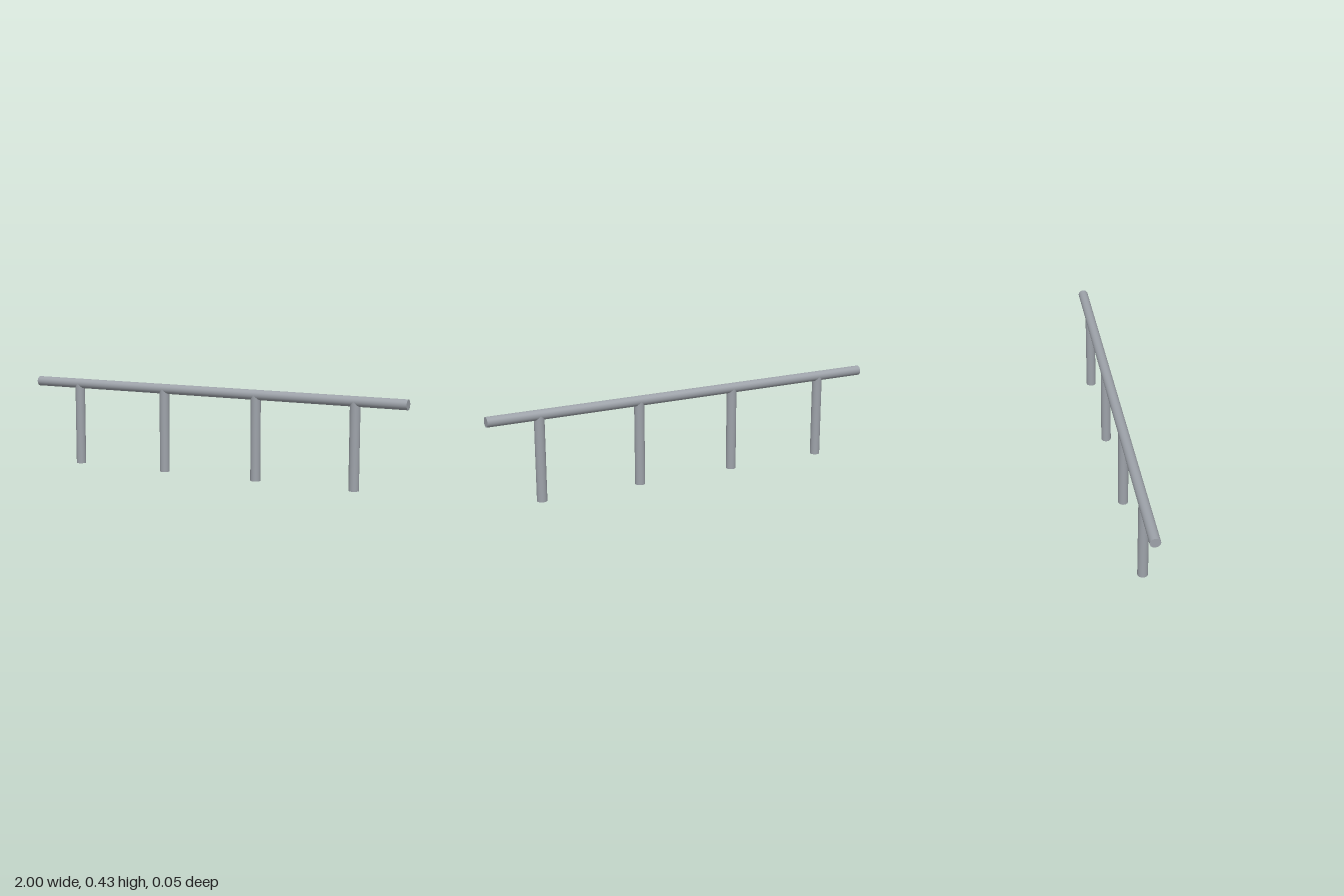
import * as THREE from 'three';

const RADIUS = 0.024;
const RAIL_Y = 0.41;
const SIDES = 48;

export function createModel() {
  const group = new THREE.Group();
  group.name = 'handrail';
  const material = new THREE.MeshStandardMaterial({ color: 0x9da2a9, side: THREE.DoubleSide });

  // Round horizontal rail with closed ends
  const rail = new THREE.Mesh(new THREE.CylinderGeometry(RADIUS, RADIUS, 2, SIDES), material);
  rail.name = 'rail';
  rail.rotation.z = Math.PI / 2;
  rail.position.y = RAIL_Y;
  group.add(rail);

  // Four evenly spaced tube posts, open at the foot, each running up to the rail's axis
  const postGeometry = new THREE.CylinderGeometry(RADIUS, RADIUS, RAIL_Y, SIDES, 1, true);
  for (let i = 0; i < 4; i++) {
    const post = new THREE.Mesh(postGeometry, material);
    post.name = `post${i + 1}`;
    post.position.set(-0.75 + i * 0.5, RAIL_Y / 2, 0);
    group.add(post);
  }

  return group;
}
